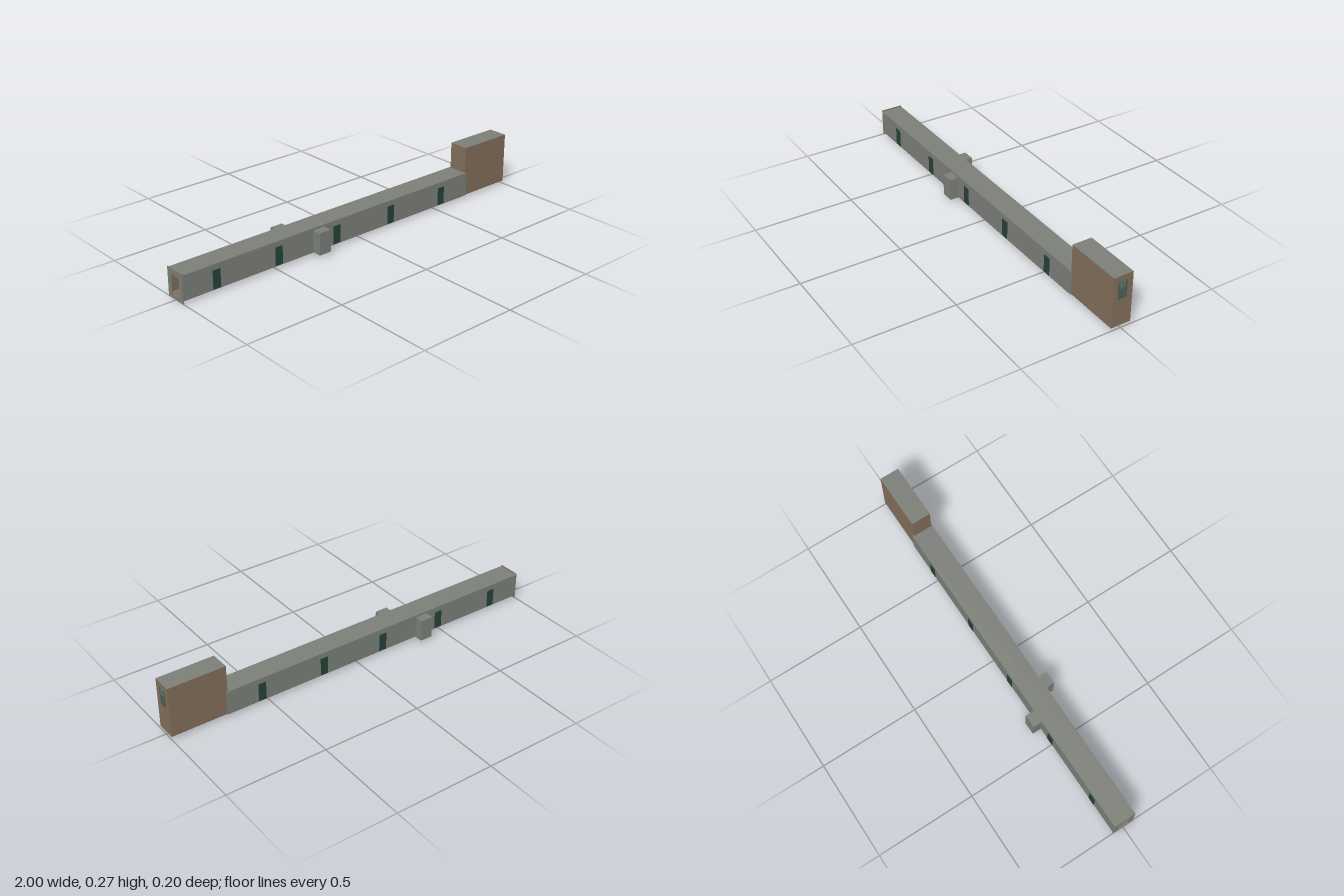
import * as THREE from 'three';

const mat = (name, color) => {
  const m = new THREE.MeshStandardMaterial({ color });
  m.name = name;
  return m;
};

export function createModel() {
  const grey = mat('wall grey', 0x7b7f78);
  const brown = mat('panel brown', 0x826e5a);
  const green = mat('door green', 0x24423a);
  const teal = mat('hatch teal', 0x4d6058);
  const pale = mat('glass pale', 0x78877f);
  const red = mat('carpet red', 0x581f1a);
  const dark = mat('metal dark', 0x35322e);

  const model = new THREE.Group();
  model.name = 'corridor';

  // box given by its limits on each axis
  const box = (name, material, [x0, x1], [y0, y1], [z0, z1], parent = model) => {
    const m = new THREE.Mesh(new THREE.BoxGeometry(x1 - x0, y1 - y0, z1 - z0), material);
    m.position.set((x0 + x1) / 2, (y0 + y1) / 2, (z0 + z1) / 2);
    m.name = name;
    parent.add(m);
    return m;
  };

  // rectangular wall across the corridor with a doorway cut through it
  const portal = (name, material, x, thick, halfW, y0, y1) => {
    const s = new THREE.Shape();
    s.moveTo(-halfW, y0).lineTo(halfW, y0).lineTo(halfW, y1).lineTo(-halfW, y1).closePath();
    const h = new THREE.Path();
    h.moveTo(-0.03, 0.018).lineTo(-0.03, 0.112).lineTo(0.03, 0.112).lineTo(0.03, 0.018).closePath();
    s.holes.push(h);
    const g = new THREE.ExtrudeGeometry(s, { depth: thick, bevelEnabled: false });
    g.rotateY(Math.PI / 2);
    const m = new THREE.Mesh(g, material);
    m.position.x = x;
    m.name = name;
    model.add(m);
  };

  // corridor shell: grey outside, brown inside
  const run = [-0.998, 0.718];
  box('floor', brown, run, [0.014, 0.018], [-0.055, 0.055]);
  box('roof', [grey, grey, grey, brown, grey, grey], run, [0.13, 0.136], [-0.056, 0.056]);
  box('frontWall', [grey, grey, grey, grey, grey, brown], run, [0.016, 0.131], [0.048, 0.055]);
  box('backWall', [grey, grey, grey, grey, brown, grey], run, [0.016, 0.131], [-0.055, -0.048]);
  box('carpet', red, [-0.93, 0.68], [0.0132, 0.0195], [-0.025, 0.025]);

  // end walls with doorways
  portal('endWall', grey, -1, 0.002, 0.055, 0, 0.141);
  portal('endWallLining', brown, -0.998, 0.002, 0.055, 0, 0.141);
  portal('junctionWall', grey, 0.715, 0.003, 0.055, 0.0145, 0.136);

  // five doors on each side
  for (const side of [1, -1]) {
    for (let i = 0; i < 5; i++) {
      const x = -0.825 + i * 0.34;
      const door = new THREE.Group();
      door.name = 'sideDoor';
      const z = (a, b) => (side > 0 ? [a, b] : [-b, -a]);
      box('doorLeaf', green, [x - 0.02, x + 0.02], [0.017, 0.108], z(0.053, 0.0572), door);
      box('doorHandle', dark, [x + 0.012, x + 0.015], [0.056, 0.059], z(0.057, 0.0605), door);
      model.add(door);
    }
  }

  // side booths
  box('frontBooth', grey, [-0.285, -0.22], [0.014, 0.125], [0.05, 0.1]);
  box('backBooth', grey, [-0.41, -0.345], [0.014, 0.125], [-0.1, -0.05]);

  // tower shell, open to the corridor
  const tz = 0.05;
  box('towerFloor', brown, [0.71, 1], [0.0145, 0.0185], [-tz, tz]);
  box('towerFrontWall', brown, [0.71, 1], [0.0185, 0.266], [0.043, tz]);
  box('towerBackWall', brown, [0.71, 1], [0.0185, 0.266], [-tz, -0.043]);
  box('towerRoof', [brown, brown, grey, brown, brown, brown], [0.71, 1], [0.264, 0.27], [-tz, tz]);
  box('towerEndWall', brown, [0.992, 0.9985], [0.0185, 0.264], [-0.043, 0.043]);
  box('towerInnerWall', brown, [0.71, 0.717], [0.134, 0.264], [-0.043, 0.043]);

  // upper hatch with a barred window
  box('hatchFrame', brown, [0.997, 0.9988], [0.149, 0.243], [-0.025, 0.026]);
  box('hatch', teal, [0.997, 0.9994], [0.151, 0.24], [-0.023, 0.024]);
  box('hatchGlass', pale, [0.997, 0.9997], [0.206, 0.238], [-0.014, 0.017]);
  for (let i = 0; i < 4; i++) {
    const z = -0.009 + i * 0.007;
    box('windowBar', teal, [0.998, 0.99985], [0.206, 0.238], [z, z + 0.002]);
    const y = 0.211 + i * 0.007;
    box('windowBar', teal, [0.998, 0.99985], [y, y + 0.002], [-0.014, 0.017]);
  }
  box('hatchHandle', dark, [0.998, 1], [0.193, 0.196], [-0.02, -0.017]);

  return model;
}
